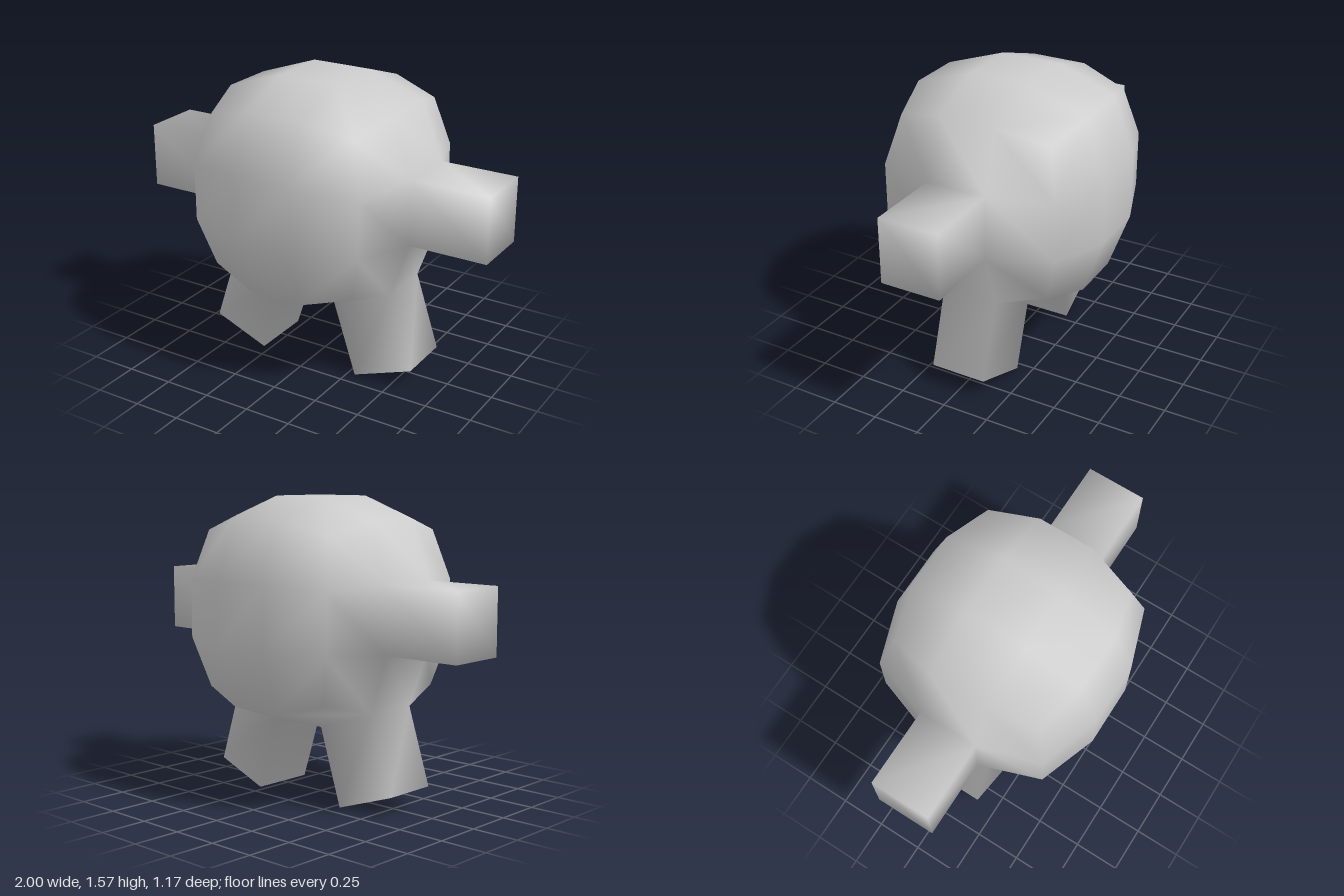
import * as THREE from 'three';

const CENTER_Y = 0.985;
const STEPS = [-1, -1 / 3, 1 / 3, 1];
// Reach of a lattice point by how many of its coordinates lie on the cube's outside:
// 1 = inside a face, 2 = on an edge, 3 = at a corner
const REACH = [0, 0.585, 0.478, 0.41];
const INNER = [0.163, 0.172, 0.16]; // half width of the middle cell in x, y, z

export function createModel() {
  const positions = [];
  const ids = new Map();
  const parts = { body: [], leftArm: [], rightArm: [], leftLeg: [], rightLeg: [] };

  const addVertex = (x, y, z) => positions.push(x, y, z) / 3 - 1;

  // Shared vertex of the rounded 3 x 3 x 3 cube
  function latticeVertex(c) {
    const key = c.join();
    if (!ids.has(key)) {
      const outside = c.filter((i) => i === 0 || i === 3).length;
      const p = c.map((i, axis) => {
        const sign = Math.sign(STEPS[i]);
        if (i === 0 || i === 3) return sign * REACH[outside];
        if (outside === 2) return sign * 0.15;
        return sign * (c[1] === 0 ? [0.16, 0, 0.172][axis] : INNER[axis]);
      });
      ids.set(key, addVertex(p[0], p[1] + CENTER_Y, p[2]));
    }
    return ids.get(key);
  }

  const quad = (list, a, b, c, d) => list.push(a, b, c, a, c, d);

  // Pull a cell out into a limb: four walls and an end cap
  function extrude(list, ring, dx, dy) {
    const end = ring.map((i) =>
      addVertex(positions[i * 3] + dx, positions[i * 3 + 1] + dy, positions[i * 3 + 2]));
    for (let k = 0; k < 4; k++) {
      const n = (k + 1) % 4;
      quad(list, ring[k], ring[n], end[n], end[k]);
    }
    quad(list, ...end);
  }

  // Six sides of nine cells; limbs grow from the side centres and the lower outer cells
  for (let axis = 0; axis < 3; axis++) {
    for (const sign of [1, -1]) {
      for (let i = 0; i < 3; i++) {
        for (let j = 0; j < 3; j++) {
          const ring = [[i, j], [i + 1, j], [i + 1, j + 1], [i, j + 1]].map(([u, v]) => {
            const c = [0, 0, 0];
            c[axis] = sign > 0 ? 3 : 0;
            c[(axis + 1) % 3] = u;
            c[(axis + 2) % 3] = v;
            return latticeVertex(c);
          });
          if (sign < 0) ring.reverse();

          if (axis === 0 && i === 1 && j === 1) {
            extrude(sign > 0 ? parts.leftArm : parts.rightArm, ring, sign * 0.415, 0);
          } else if (axis === 1 && sign < 0 && i === 1 && j !== 1) {
            extrude(j === 2 ? parts.leftLeg : parts.rightLeg, ring, (j - 1) * 0.13, -0.4);
          } else {
            quad(parts.body, ...ring);
          }
        }
      }
    }
  }

  // Smooth normals over the whole skin, shared by all parts so the joints stay seamless
  const skin = new THREE.BufferGeometry();
  skin.setAttribute('position', new THREE.Float32BufferAttribute(positions, 3));
  skin.setIndex(Object.values(parts).flat());
  skin.computeVertexNormals();

  const material = new THREE.MeshStandardMaterial({ color: 0xcccccc });
  const model = new THREE.Group();
  model.name = 'roundCreature';
  for (const [name, index] of Object.entries(parts)) {
    const geometry = new THREE.BufferGeometry();
    geometry.setAttribute('position', skin.attributes.position);
    geometry.setAttribute('normal', skin.attributes.normal);
    geometry.setIndex(index);
    const mesh = new THREE.Mesh(geometry, material);
    mesh.name = name;
    model.add(mesh);
  }
  return model;
}
